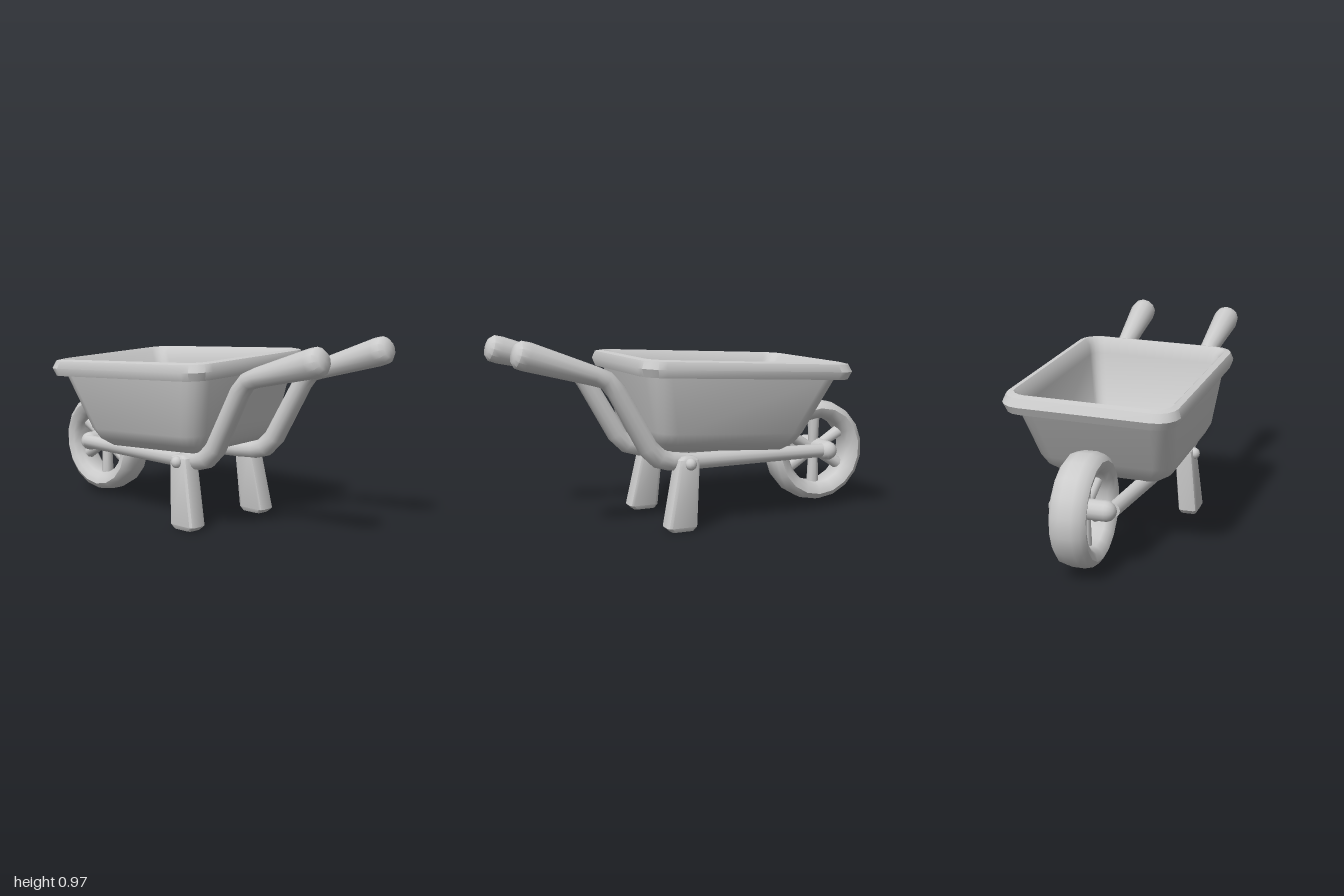
import * as THREE from 'three';
import { toCreasedNormals } from 'three/addons/utils/BufferGeometryUtils.js';

const material = new THREE.MeshStandardMaterial({ color: 0xcccccc });

// Skin a stack of closed rings (arrays of Vector3 with equal counts)
function loft(rings, crease = 0.8) {
  const n = rings[0].length, index = [];
  for (let i = 0; i < rings.length - 1; i++) {
    for (let j = 0; j < n; j++) {
      const a = i * n + j, c = i * n + (j + 1) % n;
      index.push(a, a + n, c, c, a + n, c + n);
    }
  }
  const geometry = new THREE.BufferGeometry().setFromPoints(rings.flat());
  geometry.setIndex(index);
  return toCreasedNormals(geometry, crease);
}

// Horizontal rounded rectangle
function rectRing(x0, x1, halfZ, r, y, zMid = 0, steps = 4) {
  const ring = [], cx = (x0 + x1) / 2, hx = (x1 - x0) / 2;
  const corners = [[1, 1], [-1, 1], [-1, -1], [1, -1]];
  corners.forEach(([sx, sz], k) => {
    for (let i = 0; i <= steps; i++) {
      const a = (k + i / steps) * Math.PI / 2;
      ring.push(new THREE.Vector3(
        cx + sx * (hx - r) + r * Math.cos(a), y,
        zMid + sz * (halfZ - r) + r * Math.sin(a)));
    }
  });
  return ring;
}

// Round bar along [x, y, z, radius] stations
function sweep(stations, sides = 12) {
  const rings = stations.map(([x, y, z, r], i) => {
    const p = stations[Math.max(i - 1, 0)], q = stations[Math.min(i + 1, stations.length - 1)];
    const t = new THREE.Vector2(q[0] - p[0], q[1] - p[1]).normalize();
    return Array.from({ length: sides }, (_, j) => {
      const a = j / sides * Math.PI * 2, c = r * Math.cos(a);
      return new THREE.Vector3(x - t.y * c, y + t.x * c, z - r * Math.sin(a));
    });
  });
  return loft(rings);
}

export function createModel() {
  const model = new THREE.Group();
  const add = (name, geometry, parent = model) => {
    const mesh = new THREE.Mesh(geometry, material);
    mesh.name = name;
    parent.add(mesh);
    return mesh;
  };

  // Tray: outer shell, rolled rim, inner walls and floor, slightly skewed
  const tray = [
    [-0.09, -0.09, 0, 0, 0.385],
    [-0.42, 0.24, 0.26, 0.06, 0.385],
    [-0.47, 0.28, 0.315, 0.08, 0.425],
    [-0.505, 0.30, 0.345, 0.09, 0.48],
    [-0.665, 0.36, 0.39, 0.10, 0.765],
    [-0.725, 0.395, 0.415, 0.10, 0.76],
    [-0.745, 0.41, 0.43, 0.11, 0.80],
    [-0.725, 0.395, 0.415, 0.10, 0.838],
    [-0.69, 0.365, 0.385, 0.08, 0.845],
    [-0.665, 0.34, 0.358, 0.06, 0.815],
    [-0.64, 0.33, 0.35, 0.06, 0.765],
    [-0.46, 0.26, 0.30, 0.05, 0.46],
    [-0.40, 0.21, 0.25, 0.04, 0.42],
    [-0.09, -0.09, 0, 0, 0.42],
  ].map((args) => rectRing(...args));
  tray.flat().forEach((v) => {
    v.y += 0.057 * v.x - 0.025 * v.z;
    v.z += 0.025 * (v.x + 0.15);
  });
  add('tray', loft(tray));

  // Wheel: tyre, spokes and axle
  const wheel = new THREE.Group();
  wheel.name = 'wheel';
  wheel.position.set(-0.73, 0.303, -0.012);
  model.add(wheel);
  const profile = [
    [0.178, -0.05], [0.2, -0.078], [0.235, -0.088], [0.262, -0.068], [0.272, -0.03],
    [0.272, 0.03], [0.262, 0.068], [0.235, 0.088], [0.2, 0.078], [0.178, 0.05], [0.178, -0.05],
  ].map(([r, w]) => new THREE.Vector2(r, w));
  add('tyre', toCreasedNormals(new THREE.LatheGeometry(profile, 18).rotateX(Math.PI / 2), 0.8), wheel);
  for (let i = 0; i < 6; i++) {
    const spoke = new THREE.CylinderGeometry(0.034, 0.026, 0.19, 8);
    spoke.translate(0, 0.1, 0).rotateZ(i * Math.PI / 3);
    add('spoke', toCreasedNormals(spoke, 0.9), wheel);
  }
  const axle = add('axle', new THREE.CapsuleGeometry(0.05, 0.23, 5, 14).rotateX(Math.PI / 2), wheel);
  axle.position.set(-0.02, 0.01, -0.005);
  wheel.position.x = -0.728;

  for (const s of [1, -1]) {
    const side = s > 0 ? 'left' : 'right';
    const lift = s > 0 ? 0 : 0.015;

    // Frame bar bending up into a flared grip
    add(side + 'Handle', sweep([
      [-0.74, 0.315, 0.125, 0],
      [-0.735, 0.315, 0.125, 0.036],
      [0.10, 0.337, 0.205, 0.043],
      [0.20, 0.347, 0.215, 0.048],
      [0.265, 0.368, 0.22, 0.052],
      [0.325, 0.425, 0.222, 0.052],
      [0.49, 0.715, 0.235, 0.049],
      [0.54, 0.772, 0.238, 0.046],
      [0.60, 0.795, 0.24, 0.048],
      [0.93, 0.887 + lift, 0.25, 0.069],
      [0.972, 0.899 + lift, 0.25, 0.066],
      [0.992, 0.905 + lift, 0.25, 0.045],
      [0.995, 0.906 + lift, 0.25, 0],
    ].map(([x, y, z, r]) => [x, y, z * s, r])));

    // Tapered leg with softened edges
    add(side + 'Leg', loft([
      [0.17, 0.17, 0, 0, 0.003, 0.26],
      [0.108, 0.225, 0.04, 0.015, 0.003, 0.26],
      [0.09, 0.25, 0.05, 0.02, 0.025, 0.26],
      [0.068, 0.188, 0.048, 0.02, 0.325, 0.242],
      [0.07, 0.178, 0.045, 0.02, 0.358, 0.24],
      [0.09, 0.155, 0.035, 0.015, 0.372, 0.24],
      [0.12, 0.12, 0, 0, 0.373, 0.24],
    ].map(([x0, x1, h, r, y, z]) => rectRing(x0, x1, h, r, y, z * s, 2)), 0.6));

    // Round bolt head
    const bolt = add(side + 'Bolt', new THREE.SphereGeometry(0.03, 12, 8));
    bolt.position.set(0.122, 0.338, 0.287 * s);
  }

  return model;
}
